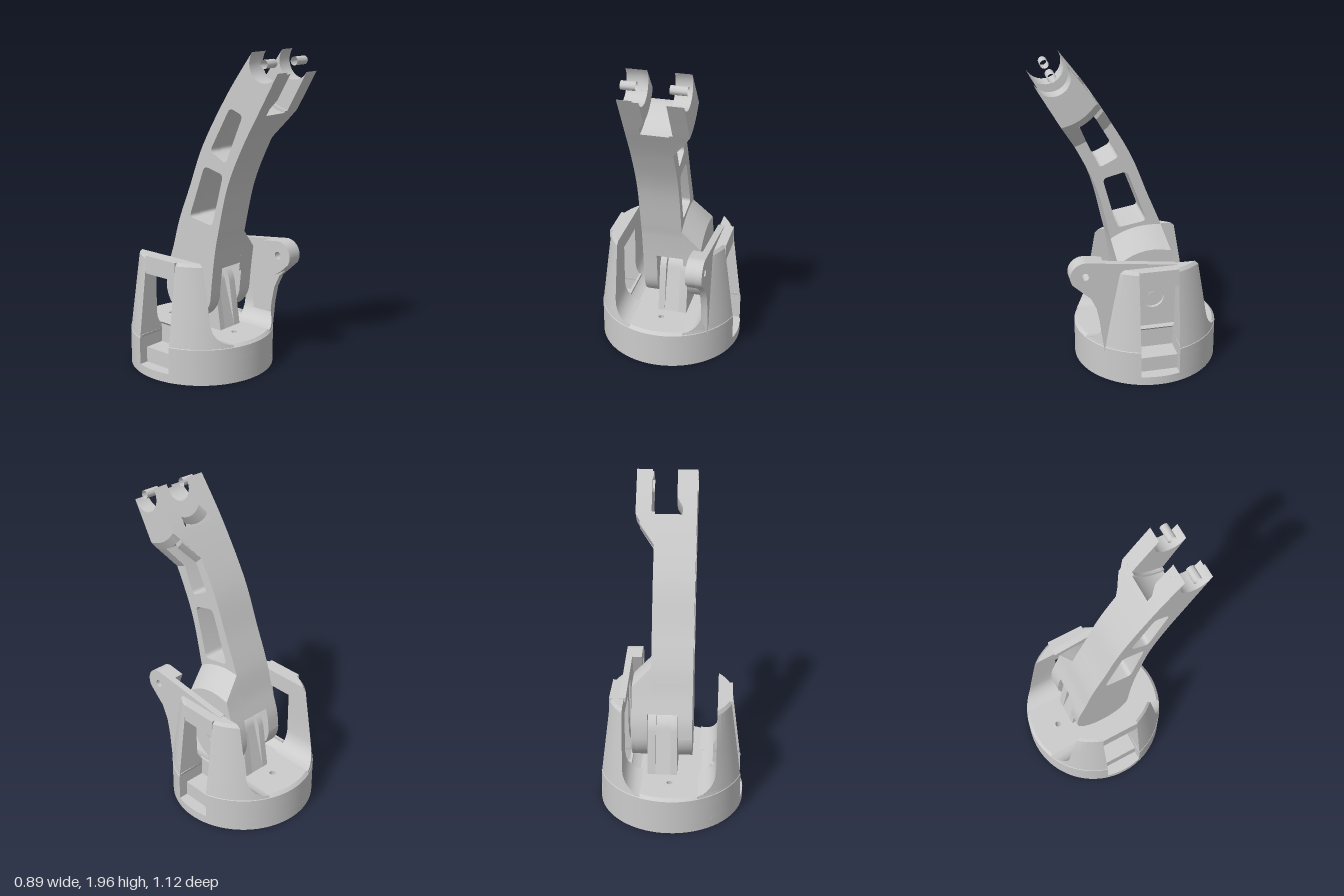
import * as THREE from 'three';
import { toCreasedNormals } from 'three/addons/utils/BufferGeometryUtils.js';

const V = (a, b) => new THREE.Vector2(a, b);
const { sqrt, PI } = Math;

// ---- 2D helpers ----
function arc(c, r, a0, a1, n = 16) {
  return Array.from({ length: n + 1 }, (_, i) => {
    const a = a0 + (a1 - a0) * i / n;
    return V(c.x + r * Math.cos(a), c.y + r * Math.sin(a));
  });
}
const circle = (x, y, r, n = 20) => arc(V(x, y), r, 0, 2 * PI, n).slice(0, n);
const edge = pts => new THREE.SplineCurve(pts.map(p => V(...p))).getPoints(160);
const atRadius = (pts, c, r) => pts.reduce((best, p) =>
  Math.abs(p.distanceTo(c) - r) < Math.abs(best.distanceTo(c) - r) ? p : best);
const angle = (p, c) => Math.atan2(p.y - c.y, p.x - c.x);
// Arc about c from p to q; "far" takes the long way round
function arcBetween(c, p, q, far = false) {
  const a = angle(p, c);
  let d = angle(q, c) - a;
  if (d > PI) d -= 2 * PI;
  if (d < -PI) d += 2 * PI;
  if (far) d -= Math.sign(d) * 2 * PI;
  return arc(c, p.distanceTo(c), a, a + d).slice(1, -1);
}
// Area between two edges, from radius r0 to r1 about c
function region(f, b, c, r0, r1, far = false) {
  const run = e => Array.from({ length: 7 }, (_, i) => atRadius(e, c, r0 + (r1 - r0) * i / 6));
  const F = run(f), B = run(b).reverse();
  return [...F, ...arcBetween(c, F[6], B[0]), ...B, ...arcBetween(c, B[6], F[0], far)];
}
function rounded(list, r) {
  const pts = list.map(p => V(...p));
  return pts.flatMap((p, i) => {
    const to = q => p.clone().add(q.clone().sub(p).setLength(r));
    const a = to(pts[(i + pts.length - 1) % pts.length]), b = to(pts[(i + 1) % pts.length]);
    return new THREE.QuadraticBezierCurve(a, p, b).getPoints(5);
  });
}

// ---- solids: outlines in u,v stacked along h ----
function loft(sections) {
  const cw = THREE.ShapeUtils.isClockWise(sections[0].pts);
  const S = sections.map(s => ({ h: s.h, pts: cw ? [...s.pts].reverse() : s.pts }));
  const pos = [], n = S[0].pts.length;
  const put = (s, i) => pos.push(s.pts[i % n].x, s.pts[i % n].y, s.h);
  for (let k = 0; k + 1 < S.length; k++) for (let i = 0; i < n; i++) {
    const a = S[k], b = S[k + 1];
    put(a, i); put(a, i + 1); put(b, i + 1);
    put(a, i); put(b, i + 1); put(b, i);
  }
  const top = S[S.length - 1];
  for (const t of THREE.ShapeUtils.triangulateShape(S[0].pts, [])) [t[2], t[1], t[0]].forEach(i => put(S[0], i));
  for (const t of THREE.ShapeUtils.triangulateShape(top.pts, [])) t.forEach(i => put(top, i));
  const g = new THREE.BufferGeometry();
  g.setAttribute('position', new THREE.Float32BufferAttribute(pos, 3));
  g.computeVertexNormals();
  return g;
}
function prism(pts, h0, h1, holes = []) {
  const s = new THREE.Shape(pts);
  s.holes = holes.map(h => new THREE.Path(h));
  return new THREE.ExtrudeGeometry(s, { depth: h1 - h0, bevelEnabled: false }).translate(0, 0, h0);
}

export function createModel() {
  const model = new THREE.Group();
  const mat = new THREE.MeshStandardMaterial({ color: 0xcccccc, side: THREE.DoubleSide });
  const add = (name, g, parent = model) => {
    const m = new THREE.Mesh(toCreasedNormals(g, 0.5), mat);
    m.name = name;
    parent.add(m);
  };
  const group = name => {
    const g = new THREE.Group();
    g.name = name;
    model.add(g);
    return g;
  };
  // Side outlines are (z, y) pairs, thickened along x
  const flip = pts => pts.map(p => V(-p.x, p.y));
  const slab = (pts, x0, x1, holes = []) => prism(flip(pts), x0, x1, holes.map(flip)).rotateY(PI / 2);
  const sideLoft = secs => loft(secs.map(s => ({ h: s.h, pts: flip(s.pts) }))).rotateY(PI / 2);

  // ---- Base, built around its own axis ----
  const base = group('base');
  base.position.z = -0.12;
  const R = 0.445, half = 0.12;
  const screwHoles = [circle(0, 0.265, 0.018), circle(0, -0.265, 0.018)];
  const notched = depth => {
    const a = Math.asin(half / R), o = V(0, 0);
    return [...arc(o, R, a, PI - a, 40), V(-depth, half), V(-depth, -half),
      ...arc(o, R, PI + a, 2 * PI - a, 40), V(depth, -half), V(depth, half)];
  };
  const up = g => g.rotateX(-PI / 2);
  add('basePlate', up(prism(circle(0, 0, R, 80), 0, 0.055, [...screwHoles, circle(0, 0, 0.05, 6)])), base);
  add('baseLower', up(prism(notched(0.37), 0.055, 0.15, screwHoles)), base);
  add('baseUpper', up(prism(notched(0.24), 0.15, 0.222, screwHoles)), base);
  const rim = prism(notched(0.24), 0.222, 0.24, screwHoles), rp = rim.attributes.position;
  for (let i = 0; i < rp.count; i++) {
    if (rp.getZ(i) > 0.235 && Math.hypot(rp.getX(i), rp.getY(i)) > 0.42)
      rp.setXY(i, rp.getX(i) * 0.96, rp.getY(i) * 0.96);
  }
  add('baseRim', up(rim), base);

  // Tapered uprights, each with a central slot and a mounting tab
  const radius = y => (y > 0.715 ? 0.368 : R - 0.065 * Math.max(0, y - 0.2) / 0.53);
  const inner = y => (y >= 0.36 ? 0.28 : 0.17 + 0.11 * sqrt(Math.max(0, 1 - ((0.36 - y) / 0.12) ** 2)));
  const levels = [0.2, 0.24, 0.245, 0.255, 0.27, 0.29, 0.32, 0.36, 0.5, 0.71, 0.73];
  for (const sx of [-1, 1]) {
    for (const sz of [-1, 1]) {
      add('upright', up(loft(levels.map(y => {
        const r = radius(y), x = inner(y);
        const outer = arc(V(0, 0), r, Math.asin(half / r), Math.acos(x / r), 14);
        return { h: y, pts: [V(x, half), ...outer].map(p => V(p.x * sx, p.y * sz)) };
      }))), base);
    }
    add('slotFillet', up(loft([0.235, 0.245, 0.255, 0.27, 0.284].map(y => ({
      h: y, pts: [[inner(y), half], [inner(y), -half], [0.24, -half], [0.24, half]].map(p => V(p[0] * sx, p[1]))
    })))), base);
    add('mountingTab', new THREE.BoxGeometry(0.09, 0.11, 0.24).translate(sx * 0.325, 0.675, 0), base);
  }

  // ---- Pivot post on the base floor ----
  const low = V(-0.115, 0.49), high = V(0.46, 1.895);
  const post = group('pivotPost');
  const postShape = r => [V(0.07, 0.235), ...arc(low, r, 0.2, PI - 0.2, 24), V(-0.3, 0.235)];
  add('postCheek', slab(postShape(0.145), -0.04, 0), post);
  add('postCore', slab(postShape(0.11), 0, 0.09), post);
  add('postCheek', slab(postShape(0.145), 0.09, 0.14), post);
  add('axle', slab(circle(low.x, low.y, 0.025), -0.12, 0.22), post);

  // ---- Ear bracket on the left upright ----
  const ear = V(0.31, 0.71), earHole = [circle(ear.x, ear.y, 0.023)];
  const bracket = group('earBracket');
  add('earPlate', slab([V(-0.24, 0.732), ...arc(ear, 0.09, 1.7, -0.55, 18), V(0.33, 0.61), V(0.28, 0.565),
    V(0.24, 0.48), V(0.22, 0.38), V(0.2, 0.19), V(0.08, 0.24), V(0.05, 0.7), V(-0.24, 0.705)], 0.27, 0.31, earHole), bracket);
  add('earBoss', slab([V(0.2, 0.786), ...arc(ear, 0.09, 1.7, -0.55, 18), V(0.33, 0.61), V(0.28, 0.58)],
    0.21, 0.27, earHole), bracket);

  // ---- Curved arm ----
  const arm = group('arm');
  const front = edge([[0.07, 0.49], [0.085, 0.63], [0.105, 0.77], [0.125, 0.87], [0.195, 1.16], [0.3, 1.4], [0.435, 1.64], [0.555, 1.85]]);
  const back = edge([[-0.3, 0.49], [-0.285, 0.6], [-0.235, 0.75], [-0.185, 0.92], [-0.1, 1.13], [0.01, 1.4], [0.195, 1.71], [0.375, 1.957]]);
  const windows = [
    rounded([[0.31, 1.6], [0.215, 1.635], [0.065, 1.37], [0.185, 1.31]], 0.03),
    rounded([[0.165, 1.24], [0.02, 1.275], [-0.1, 0.95], [0.08, 0.92]], 0.03)];
  const pin = [circle(high.x, high.y, 0.025)];
  const last = a => a[a.length - 1];
  const backDown = [...back].reverse();
  add('armSide', slab([...front, ...arcBetween(high, last(front), last(back), true), ...backDown,
    ...arcBetween(low, back[0], front[0], true)], -0.13, -0.045, [...windows, ...pin]), arm);
  const inBody = p => p.y > 0.64 && p.distanceTo(high) > 0.29;
  const bodyF = front.filter(inBody), bodyB = back.filter(inBody);
  add('armCore', slab([...bodyF, ...arcBetween(high, last(bodyF), last(bodyB)), ...bodyB.reverse()],
    -0.045, 0.12, windows), arm);

  // Upper fork
  add('upperForkPad', sideLoft([[-0.045, 0.26], [-0.01, 0.2]].map(([h, r]) =>
    ({ h, pts: region(front, back, high, 0.105, r, true) }))), arm);
  add('upperForkProng', slab(region(front, back, high, 0.105, 0.292, true), 0.14, 0.235, pin), arm);
  const wedge = (name, f, b, c, secs) => add(name, sideLoft(secs.map(([h, r0, r1]) =>
    ({ h, pts: region(f, b, c, r0, r1) }))), arm);
  wedge('upperShoulder', front, back, high, [[0.12, 0.285, 0.34], [0.208, 0.285, 0.34], [0.235, 0.285, 0.295]]);
  const line = (a, b) => new THREE.LineCurve(V(...a), V(...b)).getPoints(60);
  const ribs = [[0.12, 0.33, 0.47], [0.208, 0.33, 0.34]];
  wedge('upperShoulderRib', front, line([0.31, 1.6], [0.185, 1.31]), high, ribs);
  wedge('upperShoulderRib', line([0.215, 1.635], [0.065, 1.37]), back, high, ribs);

  // Lower fork with a keyhole recess on its outer face
  const lowProng = region(front, back, low, 0.185, 0.225, true);
  const keyhole = [...arc(low, 0.07, PI * 0.75, PI * 2.25, 20), V(-0.08, 0.59), V(-0.08, 0.625), V(-0.15, 0.625), V(-0.15, 0.59)];
  add('lowerForkProng', slab(lowProng, 0.14, 0.215), arm);
  add('lowerForkFace', slab(lowProng, 0.215, 0.235, [keyhole]), arm);
  wedge('lowerShoulder', front, back, low, [[0.12, 0.22, 0.43], [0.235, 0.22, 0.32]]);
  return model;
}
